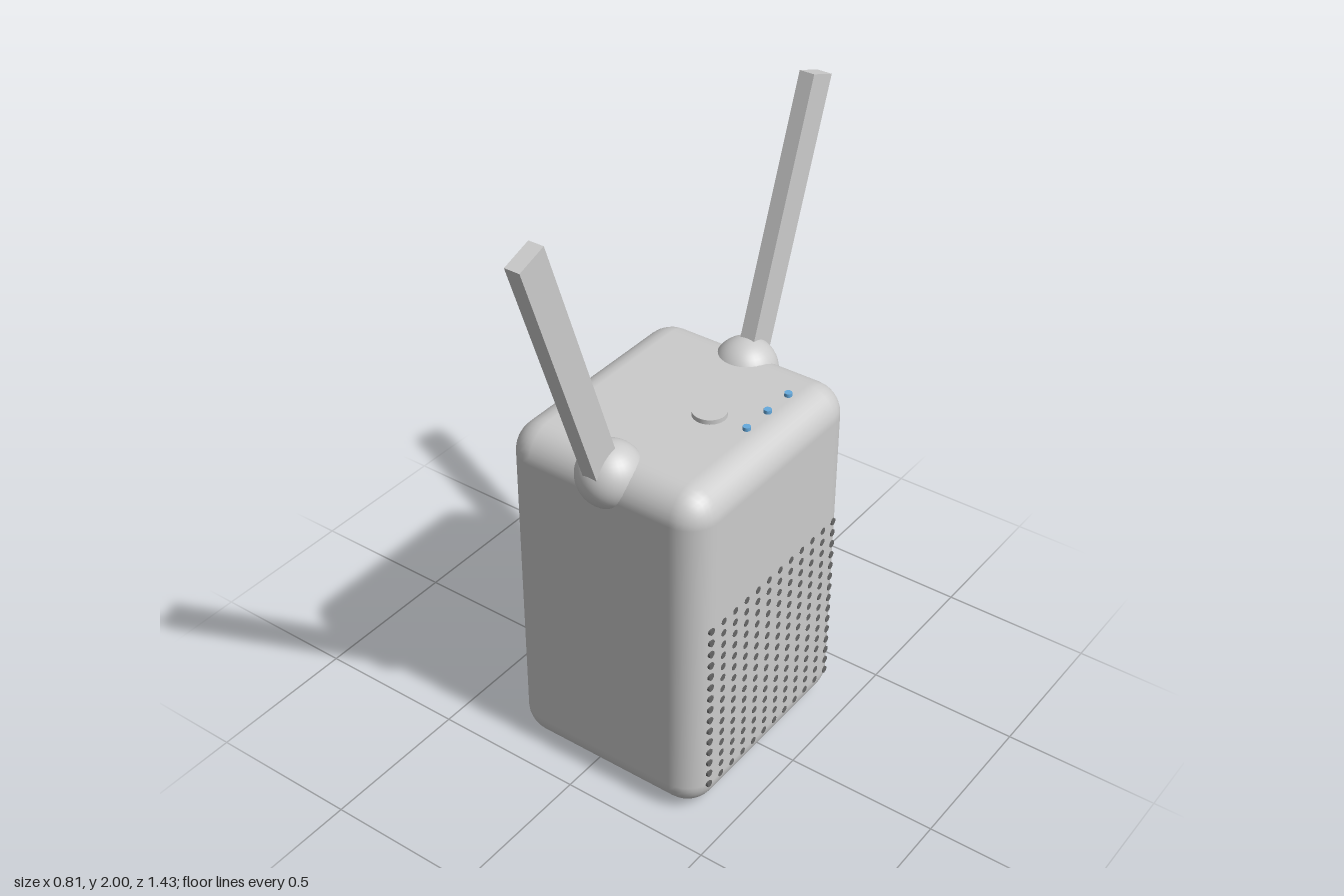
import * as THREE from 'three';
import { RoundedBoxGeometry } from 'three/addons/geometries/RoundedBoxGeometry.js';

export function createModel() {
  const model = new THREE.Group();
  model.name = 'plugInExtender';
  const grey = new THREE.MeshStandardMaterial({ color: 0xcccccc });
  const dark = new THREE.MeshStandardMaterial({ color: 0x666666 });
  const blue = new THREE.MeshStandardMaterial({ color: 0x66aadd });
  const cx = 0.055;

  function add(name, geometry, x, y, z, material = grey, parent = model) {
    const mesh = new THREE.Mesh(geometry, material);
    mesh.name = name;
    mesh.position.set(x, y, z);
    parent.add(mesh);
    return mesh;
  }

  // Rounded housing
  add('housing', new RoundedBoxGeometry(0.7, 1.185, 0.8, 4, 0.1), cx, 0.5925, 0);

  // Ball joints and splayed antennas, front and back
  const tilt = THREE.MathUtils.degToRad(19.5);
  const ball = new THREE.SphereGeometry(0.103, 32, 24);
  const blade = new THREE.BoxGeometry(0.05, 0.9, 0.103);
  blade.translate(0, -0.45, 0); // origin at the tip
  for (const s of [1, -1]) {
    const side = s > 0 ? 'front' : 'back';
    add(side + 'AntennaJoint', ball, cx, 1.127, s * 0.338);
    add(side + 'Antenna', blade, cx, 1.983, s * 0.667).rotation.x = s * tilt;
  }

  // Power pins: one upright, two slanted towards each other at the top
  const pin = new THREE.BoxGeometry(0.13, 0.158, 0.022);
  add('earthPin', pin, -0.34, 0.445, 0);
  for (const s of [1, -1]) {
    add(s > 0 ? 'frontPin' : 'backPin', pin, -0.34, 0.653, s * 0.092)
      .rotation.x = -s * Math.PI / 6;
  }

  // Button and indicator lights on top
  add('button', new THREE.CylinderGeometry(0.053, 0.053, 0.03, 32), 0.16, 1.185, 0);
  const light = new THREE.CylinderGeometry(0.012, 0.012, 0.03, 16);
  for (const z of [0, -0.108, -0.216]) add('indicatorLight', light, 0.29, 1.182, z, blue);

  // Grid of ventilation dots on the left side
  const vents = new THREE.Group();
  vents.name = 'ventGrid';
  model.add(vents);
  const dot = new THREE.CylinderGeometry(0.012, 0.012, 0.02, 12);
  dot.rotateZ(-Math.PI / 2);
  for (let row = 0; row < 15; row++) {
    for (let col = 0; col < 12; col++) {
      add('vent', dot, 0.396, 0.1 + row * 0.0432, -0.323 + col * 0.0587, dark, vents);
    }
  }
  return model;
}
